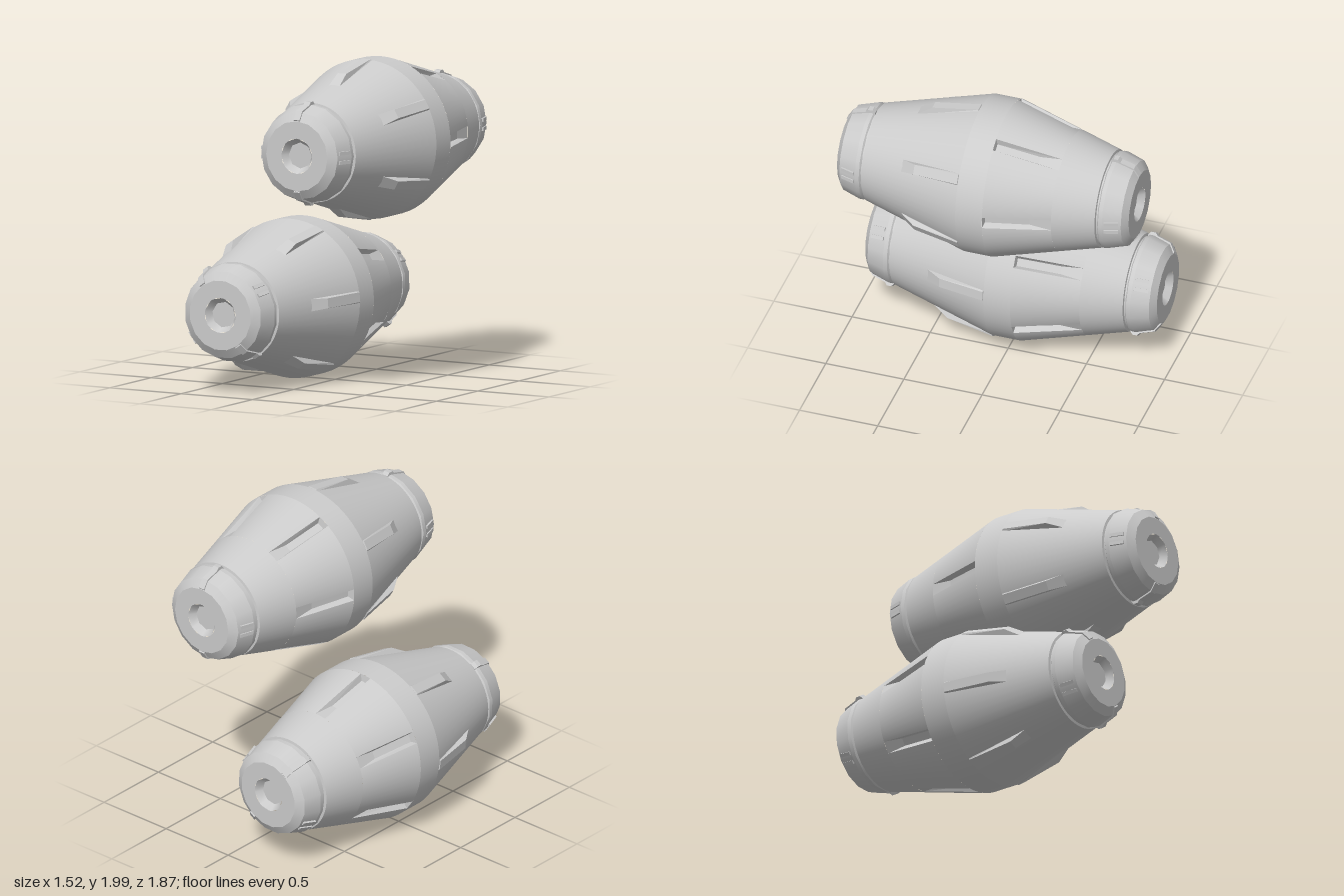
import * as THREE from 'three';
import { mergeGeometries } from 'three/addons/utils/BufferGeometryUtils.js';

const RAD = Math.PI / 180;
const R = 0.488, Z0 = 0.085, R1 = 0.305, Z1 = 0.745; // belly and shoulder of the barrel
const SLOT_END = 0.49, SLOT_W = 0.038;
const surf = (z) => R + (R1 - R) * (Math.abs(z) - Z0) / (Z1 - Z0);
const material = new THREE.MeshStandardMaterial({ color: 0xcccccc });

function mesh(name, geometry) {
  const m = new THREE.Mesh(geometry, material);
  m.name = name;
  return m;
}

// Turned surface along z with a crisp edge at every [radius, z] point
function turned(points, sides, start = 0, length = Math.PI * 2) {
  const bands = [];
  for (let i = 0; i + 1 < points.length; i++) {
    const pair = [points[i], points[i + 1]].map(([r, z]) => new THREE.Vector2(r, z));
    bands.push(new THREE.LatheGeometry(pair, sides, start, length).rotateX(Math.PI / 2));
  }
  return mergeGeometries(bands);
}

// Rear cone: six sectors with straight-sided gaps left for the pockets
function rearSector(index) {
  const g = turned([[surf(SLOT_END), -SLOT_END], [R, -Z0]], 10, 60 * RAD, 60 * RAD);
  const p = g.attributes.position;
  for (let i = 0; i < p.count; i++) {
    const r = Math.hypot(p.getX(i), p.getY(i));
    const gap = Math.asin(SLOT_W / r) / (30 * RAD);
    const a = Math.atan2(p.getY(i), p.getX(i)) * (1 - gap);
    p.setXY(i, r * Math.cos(a), r * Math.sin(a));
  }
  return g.rotateZ((30 + 60 * index) * RAD);
}

// Tapered block or hollow on the cone: a rim on the surface joined to a plateau
function plateau(side, near, far, rimSink) {
  const rim = [], top = [];
  const rimX = (z) => Math.sqrt(surf(z) ** 2 - SLOT_W ** 2) - rimSink;
  for (const [z, y] of [[Z0, -1], [Z0, 1], [SLOT_END, 1], [SLOT_END, -1]]) {
    rim.push([rimX(z), y * SLOT_W, z * side]);
    const [r, tz, w] = z === Z0 ? near : far;
    top.push([r, y * w, tz * side]);
  }
  const quads = [top];
  for (let i = 0; i < 4; i++) {
    const j = (i + 1) % 4;
    quads.push([rim[i], rim[j], top[j], top[i]]);
  }
  const pos = [];
  for (const q of quads) {
    const [a, b, c, d] = side > 0 ? q : [...q].reverse();
    pos.push(...a, ...b, ...c, ...a, ...c, ...d);
  }
  const g = new THREE.BufferGeometry();
  g.setAttribute('position', new THREE.Float32BufferAttribute(pos, 3));
  g.computeVertexNormals();
  return g;
}

// End cap with a recessed socket, two ridges and two pairs of small ribs
function endCap() {
  const cap = new THREE.Group();
  cap.name = 'endCap';
  cap.add(mesh('capShell', turned([
    [0.29, 0.755], [0.303, 0.765], [0.303, 0.79], [0.268, 0.9], [0.215, 0.933],
  ], 16)));
  cap.add(mesh('capFace', turned([[0.215, 0.933], [0.108, 0.933]], 16)));
  cap.add(mesh('socket', turned([[0.112, 0.933], [0.08, 0.89], [0, 0.89]], 8)));

  // Ridge outline in (radius, z), extruded across its width
  const outline = [[0.26, 0.755], [0.3, 0.755], [0.318, 0.772], [0.318, 0.8],
    [0.3, 0.815], [0.274, 0.902], [0.222, 0.936], [0.2, 0.92]];
  const shape = new THREE.Shape(outline.map(([r, z]) => new THREE.Vector2(r, z)));
  for (const angle of [90, 270]) {
    const g = new THREE.ExtrudeGeometry(shape, { depth: 0.042, bevelEnabled: false });
    g.translate(0, 0, -0.021).rotateX(Math.PI / 2).rotateZ(angle * RAD);
    cap.add(mesh('capRidge', g));
  }
  for (const angle of [0, 180]) {
    for (const y of [-0.028, 0.028]) {
      const g = new THREE.BoxGeometry(0.03, 0.022, 0.09);
      g.rotateY(-0.31).translate(0.276, y, 0.84).rotateZ(angle * RAD);
      cap.add(mesh('capRib', g));
    }
  }
  return cap;
}

function barrel() {
  const group = new THREE.Group();
  group.name = 'barrel';

  // Main shell, apart from the pocketed rear band
  const rs = surf(SLOT_END);
  group.add(mesh('frontShell', turned([[R, -Z0], [R, Z0], [R1, Z1], [0.288, 0.748], [0.288, 0.77]], 60)));
  group.add(mesh('rearShell', turned([[0.288, -0.77], [0.288, -0.748], [R1, -Z1], [rs, -SLOT_END]], 60)));

  for (let i = 0; i < 6; i++) {
    group.add(mesh('rearSector', rearSector(i)));
    // Rear pocket with a ramped outer end
    const pocket = plateau(-1, [R - 0.045, 0.09, 0.024], [surf(0.355) - 0.035, 0.355, 0.024], 0);
    group.add(mesh('rearPocket', pocket.rotateZ(60 * i * RAD)));
    // Front wedge, flush at the belly and standing proud at its outer end
    const wedge = plateau(1, [0.493, 0.09, 0.03], [0.44, 0.385, 0.03], 0.004);
    group.add(mesh('frontWedge', wedge.rotateZ((30 + 60 * i) * RAD)));
  }

  const front = endCap(), rear = endCap();
  rear.rotation.y = Math.PI;
  group.add(front, rear);
  return group;
}

export function createModel() {
  const model = new THREE.Group();
  model.name = 'barrelPair';
  const upper = barrel();
  upper.name = 'upperBarrel';
  upper.position.set(0.272, 1.505, 0);
  const lower = barrel();
  lower.name = 'lowerBarrel';
  lower.position.set(-0.265, 0.491, 0);
  lower.rotation.z = 35 * RAD;
  model.add(upper, lower);
  return model;
}
